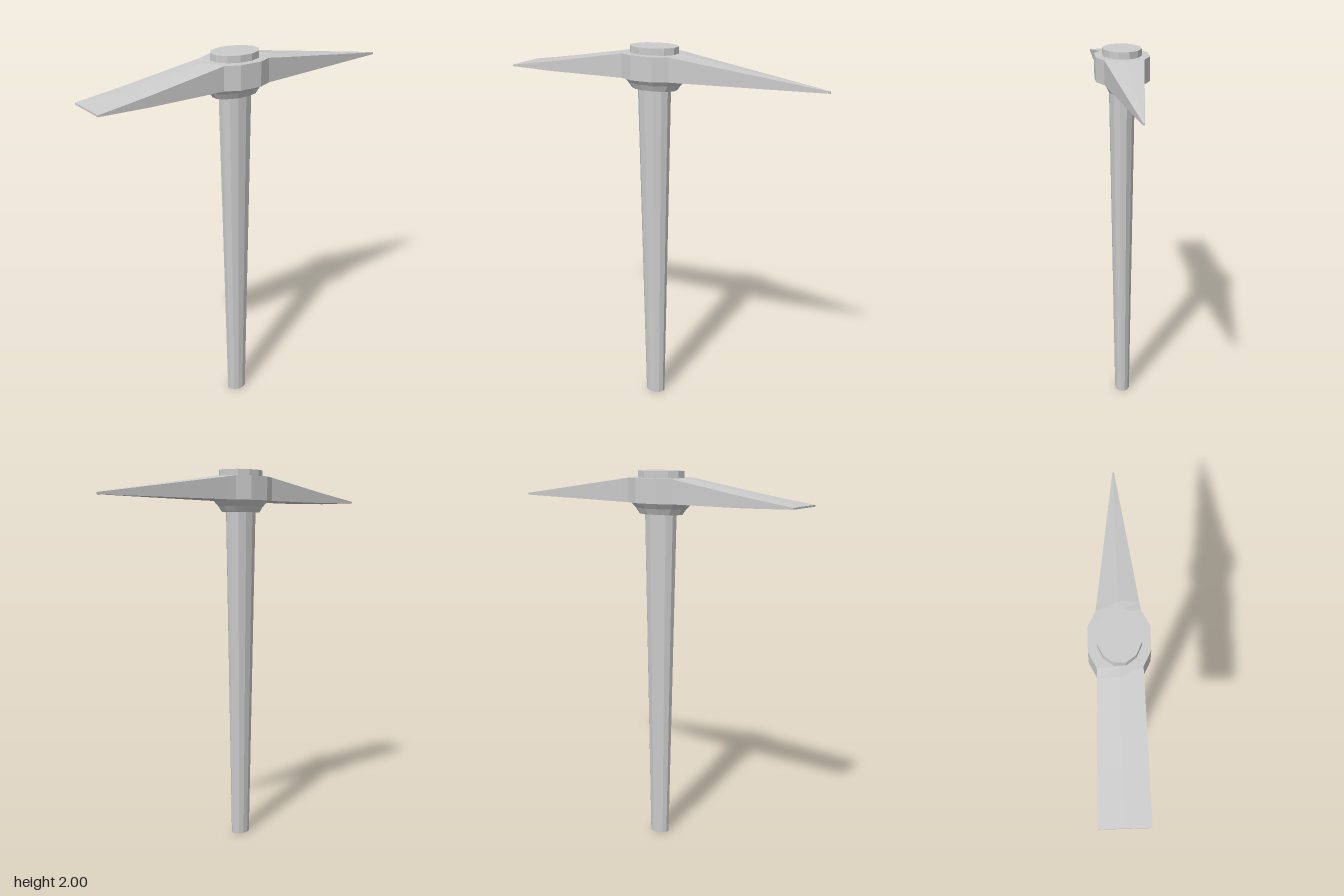
import * as THREE from 'three';

const AXIS_X = -0.06; // handle axis
const SIDES = 12;

export function createModel() {
  const group = new THREE.Group();
  const material = new THREE.MeshStandardMaterial({ color: 0xcccccc, flatShading: true });

  function addMesh(name, geometry) {
    const mesh = new THREE.Mesh(geometry, material);
    mesh.name = name;
    group.add(mesh);
    return mesh;
  }

  // Twelve-sided oval prism; rings are [y, half width x, half depth z], bottom to top
  function ovalPrism(name, rings) {
    for (let i = 0; i < rings.length - 1; i++) {
      const [y0, w0, d0] = rings[i];
      const [y1, w1, d1] = rings[i + 1];
      const geo = new THREE.CylinderGeometry(1, 1, 1, SIDES).rotateY(Math.PI / SIDES);
      const pos = geo.attributes.position;
      const k = 1 / Math.cos(Math.PI / SIDES); // flats touch the given half sizes
      for (let v = 0; v < pos.count; v++) {
        const top = pos.getY(v) > 0;
        pos.setXYZ(v, AXIS_X + pos.getX(v) * k * (top ? w1 : w0), top ? y1 : y0, pos.getZ(v) * k * (top ? d1 : d0));
      }
      geo.computeVertexNormals();
      addMesh(name, geo);
    }
  }

  ovalPrism('handle', [[0, 0.053, 0.04], [1.79, 0.088, 0.065]]);
  ovalPrism('collar', [[1.78, 0.123, 0.07], [1.81, 0.145, 0.084], [1.842, 0.18, 0.107]]);
  ovalPrism('handleEnd', [[1.95, 0.128, 0.098], [2, 0.128, 0.098]]);

  // Head: flat chisel on one side, pointed spike on the other.
  // Stations are [x, half depth, bottom y, top edge y, top middle y]
  const stations = [
    [-0.875, 0.114, 1.846, 1.854, 1.855],
    [-0.62, 0.11, 1.84, 1.892, 1.897],
    [-0.24, 0.102, 1.84, 1.956, 1.964],
    [-0.195, 0.101, 1.84, 1.964, 1.965],
    [-0.12, 0.138, 1.84, 1.965, 1.965],
    [0, 0.138, 1.84, 1.965, 1.965],
    [0.075, 0.101, 1.84, 1.964, 1.965],
    [0.12, 0.095, 1.84, 1.957, 1.964],
    [0.875, 0.004, 1.844, 1.854, 1.855],
  ];
  const points = [], index = [], n = 5;
  for (const [x, d, y0, y1, ym] of stations) {
    points.push(x, y0, -d, x, y1, -d, x, ym, 0, x, y1, d, x, y0, d);
  }
  for (let s = 0; s < stations.length - 1; s++) {
    for (let i = 0; i < n; i++) {
      const a = s * n + i, b = s * n + (i + 1) % n;
      index.push(a, b, b + n, a, b + n, a + n);
    }
  }
  // Close both ends
  const last = (stations.length - 1) * n;
  for (let i = 1; i < n - 1; i++) {
    index.push(0, i + 1, i, last, last + i, last + i + 1);
  }
  const head = new THREE.BufferGeometry();
  head.setAttribute('position', new THREE.Float32BufferAttribute(points, 3));
  head.setIndex(index);
  const faceted = head.toNonIndexed();
  faceted.computeVertexNormals();
  addMesh('pickHead', faceted);

  return group;
}
